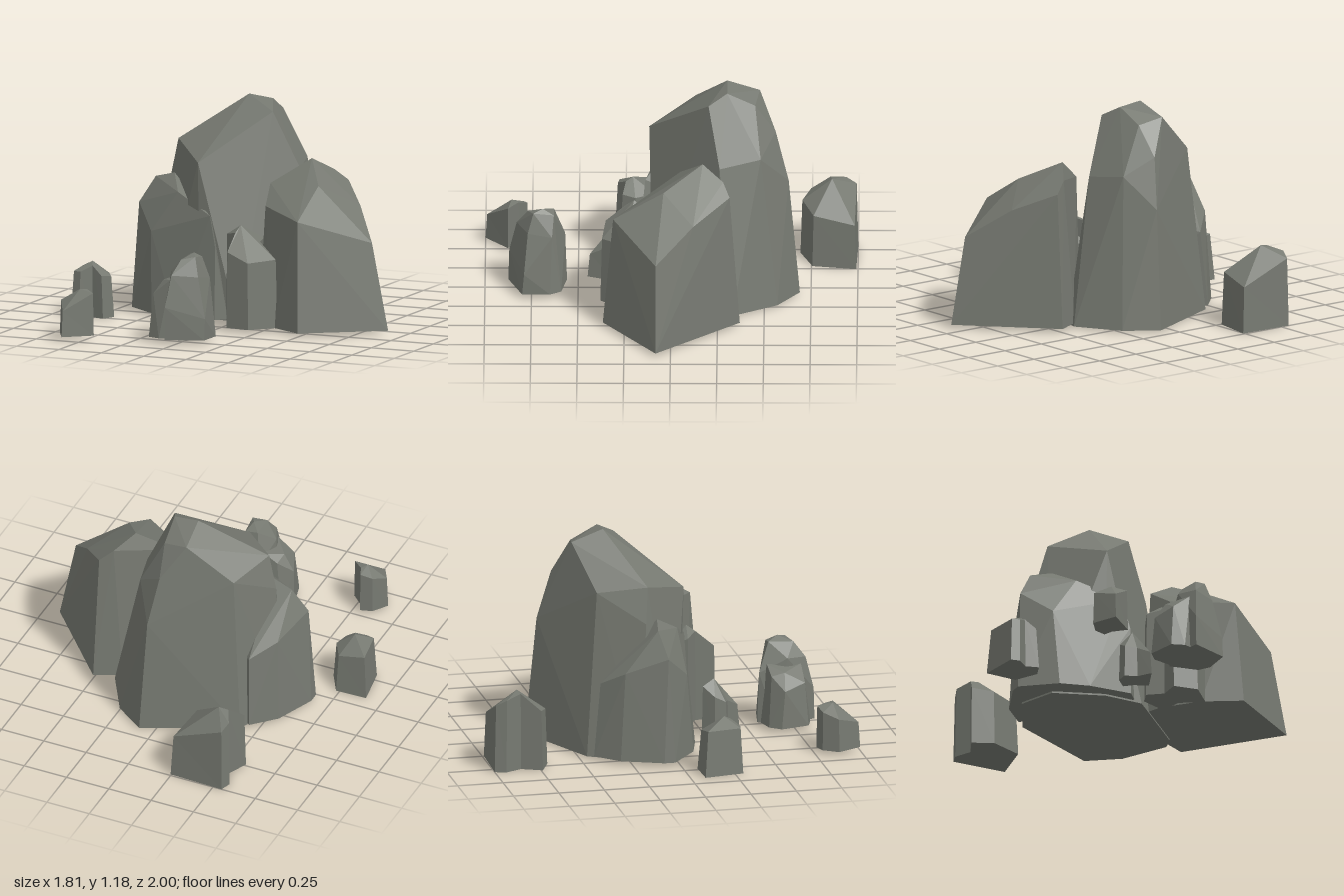
import * as THREE from 'three';
import { ConvexGeometry } from 'three/addons/geometries/ConvexGeometry.js';

const stone = new THREE.MeshStandardMaterial({ color: 0x767971 });
stone.name = 'grey green stone';

// Faceted boulder: ground outline as [x, z] at floor height, upper corners as [x, y, z]
function boulder(name, floor, outline, corners) {
  const points = outline.map(([x, z]) => new THREE.Vector3(x, floor, z));
  corners.forEach((c) => points.push(new THREE.Vector3(...c)));
  const mesh = new THREE.Mesh(new ConvexGeometry(points), stone);
  mesh.name = name;
  return mesh;
}

// Upright stone that may have notches: outline of [x, z, rim height], clockwise from above,
// drawn in slightly at the rim and closed by facets that meet at a peak [x, y, z]
function shard(name, floor, outline, peak, inset = 0.9) {
  const top = new THREE.Vector3(...peak);
  const base = outline.map(([x, z]) => new THREE.Vector3(x, floor, z));
  const rim = outline.map(([x, z, y]) => new THREE.Vector3(
    top.x + (x - top.x) * inset, y, top.z + (z - top.z) * inset));
  const under = new THREE.Vector3(top.x, floor, top.z);
  const tris = [];
  base.forEach((b, i) => {
    const j = (i + 1) % base.length;
    tris.push(b, rim[i], rim[j], b, rim[j], base[j]);
    tris.push(top, rim[j], rim[i], under, b, base[j]);
  });
  const geometry = new THREE.BufferGeometry().setFromPoints(tris);
  geometry.computeVertexNormals();
  const mesh = new THREE.Mesh(geometry, stone);
  mesh.name = name;
  return mesh;
}

export function createModel() {
  const group = new THREE.Group();
  group.name = 'rockCluster';

  // Tall central rock with a slanted crown
  group.add(boulder('tallRock', 0.01,
    [[0.08, -0.69], [0.25, -0.57], [0.39, -0.33], [0.37, -0.25], [0.02, 0.1], [-0.2, 0.1],
      [-0.47, 0.0], [-0.55, -0.2], [-0.41, -0.46]],
    [[-0.09, 1.18, -0.3], [0.05, 1.165, -0.3], [0.095, 1.11, -0.2], [-0.2, 0.86, 0.12],
      [-0.43, 0.94, -0.13], [-0.1, 1.12, -0.475], [0.04, 1.09, -0.45], [-0.34, 0.9, -0.39],
      [0.02, 0.93, -0.56], [0.06, 0.66, -0.63], [0.23, 0.8, -0.26], [0.17, 0.83, -0.48],
      [-0.48, 0.75, -0.15]]));

  // Broad rounded rock leaning on its front left
  group.add(boulder('shoulderRock', 0.02,
    [[-0.66, -0.03], [-0.66, -0.09], [-0.57, -0.31], [-0.45, -0.43], [-0.1, -0.1],
      [-0.03, 0.11], [-0.08, 0.17], [-0.32, 0.155], [-0.48, 0.11]],
    [[-0.63, 0.59, -0.06], [-0.55, 0.73, -0.1], [-0.43, 0.76, -0.08], [-0.35, 0.68, 0.05],
      [-0.12, 0.58, 0.14], [-0.08, 0.41, 0.16], [-0.5, 0.46, 0.07], [-0.55, 0.5, -0.28],
      [-0.43, 0.42, -0.39], [-0.15, 0.5, 0]]));

  // Wide block with a sloping top
  group.add(boulder('wideRock', 0.02,
    [[0.5, -0.37], [0.905, 0.08], [0.5, 0.365], [0.3, 0.25], [0.14, 0.08], [0.1, -0.02],
      [0.36, -0.3]],
    [[0.34, 0.88, -0.17], [0.15, 0.75, -0.05], [0.19, 0.65, 0.1], [0.475, 0.615, 0.31],
      [0.81, 0.49, 0.08], [0.65, 0.65, -0.12], [0.49, 0.75, -0.315], [0.42, 0.81, -0.28],
      [0.475, 0.77, 0.04]]));

  // Leaning stone in the gap between the big rocks
  group.add(shard('gapStone', 0.02,
    [[0.03, 0.11, 0.47], [0.17, 0.06, 0.47], [0.2, 0.18, 0.47], [0.33, 0.25, 0.39],
      [0.215, 0.38, 0.38], [0.08, 0.36, 0.43], [0.08, 0.25, 0.52], [0, 0.19, 0.5]],
    [0.09, 0.555, 0.2], 0.95));

  // Small pebble in front of the cluster
  group.add(shard('frontPebble', 0.02,
    [[-0.16, 0.23, 0.28], [-0.115, 0.27, 0.28], [-0.04, 0.3, 0.23], [-0.1, 0.45, 0.15],
      [-0.15, 0.38, 0.19], [-0.215, 0.355, 0.2], [-0.215, 0.29, 0.23]],
    [-0.14, 0.315, 0.3], 0.92));

  // Domed front stone with a lower lobe on one side
  group.add(boulder('domedStone', 0.025,
    [[-0.05, 0.56], [0.11, 0.59], [0.15, 0.65], [0.15, 0.8], [-0.05, 0.875], [-0.07, 0.8],
      [-0.1, 0.65]],
    [[0.04, 0.48, 0.69], [0.07, 0.465, 0.74], [0, 0.45, 0.77], [-0.01, 0.46, 0.63],
      [0.06, 0.45, 0.63], [-0.08, 0.38, 0.72], [-0.03, 0.37, 0.83], [0.1, 0.36, 0.77],
      [0.11, 0.34, 0.64], [-0.05, 0.2, 0.87], [0.15, 0.14, 0.79], [-0.05, 0.3, 0.57]]));
  group.add(boulder('domedStoneLobe', 0.025,
    [[-0.21, 0.66], [-0.16, 0.6], [-0.03, 0.57], [-0.03, 0.82], [-0.1, 0.84], [-0.17, 0.815]],
    [[-0.14, 0.32, 0.69], [-0.2, 0.23, 0.68], [-0.13, 0.3, 0.62], [-0.06, 0.35, 0.61],
      [-0.05, 0.34, 0.8], [-0.15, 0.26, 0.8]]));

  // Loose stones set apart at the back, the side and the front corner
  group.add(shard('backStone', 0,
    [[-0.55, -1, 0.37], [-0.245, -0.99, 0.25], [-0.285, -0.755, 0.29], [-0.46, -0.69, 0.31],
      [-0.575, -0.74, 0.33], [-0.525, -0.85, 0.42], [-0.57, -0.94, 0.4]],
    [-0.47, 0.43, -0.86], 0.94));
  group.add(shard('sideStone', 0,
    [[-0.905, 0.08, 0.25], [-0.73, 0.075, 0.22], [-0.66, 0.195, 0.22], [-0.69, 0.275, 0.23],
      [-0.76, 0.255, 0.28], [-0.82, 0.305, 0.25], [-0.87, 0.295, 0.25]],
    [-0.78, 0.3, 0.21], 0.86));
  group.add(shard('cornerStone', 0.02,
    [[-0.55, 0.77, 0.25], [-0.53, 0.82, 0.26], [-0.465, 0.88, 0.25], [-0.6, 1, 0.16],
      [-0.67, 0.87, 0.2], [-0.615, 0.79, 0.23]],
    [-0.555, 0.265, 0.86], 0.94));

  return group;
}
